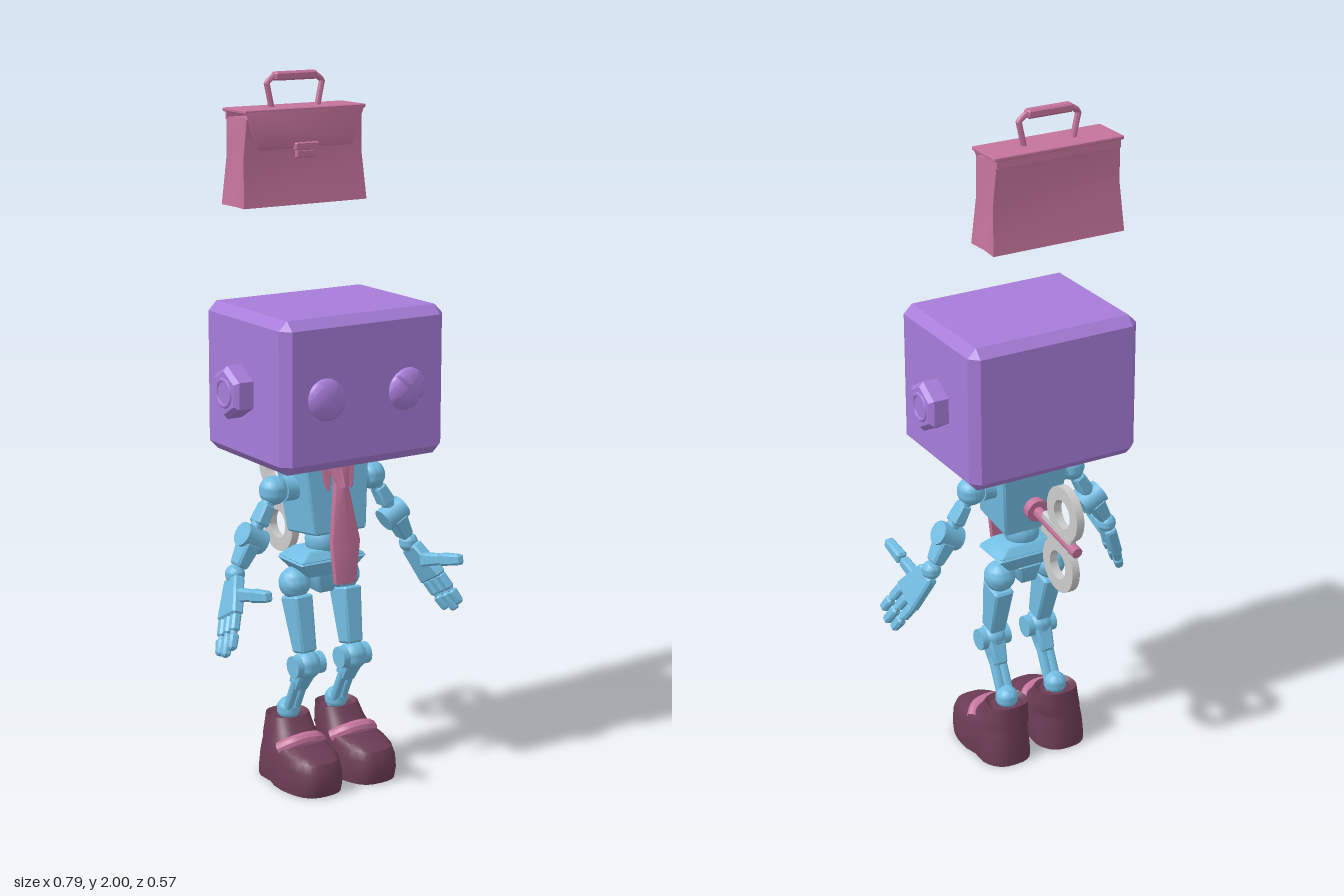
import * as THREE from 'three';
import { toCreasedNormals } from 'three/addons/utils/BufferGeometryUtils.js';
import { ConvexGeometry } from 'three/addons/geometries/ConvexGeometry.js';

const V = (x, y, z) => new THREE.Vector3(x, y, z);
const mat = (color) => new THREE.MeshStandardMaterial({ color, side: THREE.DoubleSide });
const purple = mat(0xa67cd9), blue = mat(0x72bde3), pink = mat(0xc4739b), maroon = mat(0x6b3c54), grey = mat(0xcccccc);

function add(parent, name, geo, material, p = V(0, 0, 0)) {
  const mesh = new THREE.Mesh(toCreasedNormals(geo, 0.6), material);
  mesh.name = name;
  mesh.position.copy(p);
  parent.add(mesh);
  return mesh;
}

function group(parent, name) {
  const g = new THREE.Group();
  g.name = name;
  parent.add(g);
  return g;
}

// Box with bevelled edges; the top may have its own width and depth
function bevelBox(w, h, d, c, topW = w, topD = d) {
  const points = [];
  for (const sx of [-1, 1]) for (const sy of [-1, 1]) for (const sz of [-1, 1]) {
    const x = (sy > 0 ? topW : w) / 2, z = (sy > 0 ? topD : d) / 2, y = h / 2;
    for (const [a, b, e] of [[0, c, c], [c, 0, c], [c, c, 0]]) {
      points.push(V(sx * (x - a), sy * (y - b), sz * (z - e)));
    }
  }
  return new ConvexGeometry(points);
}

// Turn a mesh so its y axis runs from a to b, and centre it between them
function span(mesh, a, b, hint = V(0, 0, 1)) {
  const y = b.clone().sub(a).normalize();
  const z = hint.clone().addScaledVector(y, -hint.dot(y)).normalize();
  const x = y.clone().cross(z);
  mesh.quaternion.setFromRotationMatrix(new THREE.Matrix4().makeBasis(x, y, z));
  mesh.position.copy(a).lerp(b, 0.5);
  return mesh;
}
const limb = (g, name, a, b, w, d, w2 = w, d2 = d, m = blue, hint) =>
  span(add(g, name, bevelBox(w, a.distanceTo(b), d, 0.006, w2, d2), m), a, b, hint);
const rod = (g, name, a, b, r, m = blue) =>
  span(add(g, name, new THREE.CylinderGeometry(r, r, a.distanceTo(b), 14), m), a, b);
const ball = (g, name, p, r) => add(g, name, new THREE.SphereGeometry(r, 18, 14), blue, p);

// Skin stacked rings, each anticlockwise seen from above, and cap both ends
function loft(rings) {
  const n = rings[0].length, pos = rings.flat().flatMap((p) => [p.x, p.y, p.z]), idx = [];
  for (let j = 0; j < rings.length - 1; j++) for (let i = 0; i < n; i++) {
    const a = j * n + i, b = j * n + (i + 1) % n;
    idx.push(a, b, b + n, a, b + n, a + n);
  }
  [rings[0], rings[rings.length - 1]].forEach((ring, k) => {
    const c = ring.reduce((s, p) => s.add(p), V(0, 0, 0)).divideScalar(n);
    const ci = pos.length / 3, o = k * (rings.length - 1) * n;
    pos.push(c.x, c.y, c.z);
    for (let i = 0; i < n; i++) {
      const a = o + i, b = o + (i + 1) % n;
      idx.push(ci, k ? a : b, k ? b : a);
    }
  });
  const geo = new THREE.BufferGeometry();
  geo.setAttribute('position', new THREE.Float32BufferAttribute(pos, 3));
  geo.setIndex(idx);
  return geo;
}

function buildHead(root) {
  const g = group(root, 'head');
  add(g, 'headBlock', bevelBox(0.528, 0.42, 0.42, 0.026), purple, V(0, 1.17, 0.05));
  for (const s of [-1, 1]) {
    // Slotted screw eye: two half domes over a lower one
    const eye = group(g, 'screwEye');
    eye.position.set(s * 0.13, 1.16, 0.258);
    eye.rotation.z = -s * 0.85;
    for (const k of [0, 1]) {
      const half = new THREE.SphereGeometry(0.056, 16, 10, k * Math.PI, Math.PI, 0, Math.PI / 2);
      half.rotateX(Math.PI / 2).scale(1, 1, 0.5);
      add(eye, 'halfDome', half, purple, V(0, k ? 0.005 : -0.005, 0));
    }
    const floor = new THREE.SphereGeometry(0.057, 24, 8, 0, Math.PI * 2, 0, Math.PI / 2);
    add(eye, 'slotFloor', floor.rotateX(Math.PI / 2).scale(1, 1, 0.3), purple);

    // Hexagonal nut ear with a bolt end
    const ear = group(g, 'nutEar');
    ear.position.set(s * 0.26, 1.16, 0.04);
    ear.rotation.z = -s * Math.PI / 2;
    const turned = (r1, r2, h, n) => new THREE.CylinderGeometry(r1, r2, h, n).rotateY(Math.PI / 6);
    add(ear, 'nut', turned(0.074, 0.074, 0.05, 6), purple, V(0, 0.023, 0));
    add(ear, 'nutBevel', turned(0.06, 0.074, 0.012, 6), purple, V(0, 0.054, 0));
    add(ear, 'nutRim', new THREE.TorusGeometry(0.036, 0.007, 8, 24).rotateX(Math.PI / 2), purple, V(0, 0.058, 0));
  }
}

function buildBody(root) {
  const g = group(root, 'body');
  limb(g, 'torso', V(0, 0.732, 0.06), V(0, 0.925, 0.035), 0.17, 0.155, 0.21, 0.16);
  rod(g, 'neck', V(0, 0.91, 0.04), V(0, 0.98, 0.04), 0.04);
  ball(g, 'waist', V(0, 0.7, 0.04), 0.052);
  limb(g, 'pelvis', V(0, 0.605, 0.035), V(0, 0.655, 0.035), 0.15, 0.1, 0.22, 0.13);
  limb(g, 'pelvisTop', V(0, 0.65, 0.035), V(0, 0.68, 0.035), 0.215, 0.125, 0.15, 0.1);
  limb(g, 'crotch', V(0, 0.548, 0.03), V(0, 0.61, 0.03), 0.055, 0.07, 0.075, 0.09);
}

function buildTie(root) {
  const g = group(root, 'necktie');
  const collar = add(g, 'collar', new THREE.TorusGeometry(0.054, 0.014, 8, 24).rotateX(Math.PI / 2), pink, V(0, 0.94, 0.045));
  collar.rotation.x = 0.15;
  // Each ring: height, half width, depth position
  const strip = (rows) => loft(rows.map(([y, w, z]) =>
    [V(w, y, z), V(w, y, z - 0.018), V(-w, y, z - 0.018), V(-w, y, z), V(0, y, z + 0.008)]));
  add(g, 'blade', strip([[0.6, 0.032, 0.162], [0.72, 0.045, 0.162], [0.89, 0.018, 0.138]]), pink);
  add(g, 'knot', strip([[0.875, 0.016, 0.148], [0.93, 0.03, 0.128]]), pink);
  for (const s of [-1, 1]) {
    limb(g, 'collarFlap', V(s * 0.038, 0.862, 0.127), V(s * 0.038, 0.945, 0.105), 0.012, 0.012, 0.05, 0.014, pink);
  }
}

function buildKey(root) {
  const g = group(root, 'windUpKey');
  rod(g, 'shaft', V(0, 0.803, -0.03), V(0, 0.765, -0.27), 0.016, pink);
  rod(g, 'flange', V(0, 0.803, -0.03), V(0, 0.8, -0.055), 0.034, pink);
  const ring = new THREE.Shape().absarc(0, 0, 0.081, 0, Math.PI * 2);
  ring.holes.push(new THREE.Path().absarc(0, 0, 0.042, 0, Math.PI * 2, true));
  for (const [y, z] of [[0.86, -0.205], [0.692, -0.184]]) {
    const geo = new THREE.ExtrudeGeometry(ring, { depth: 0.024, bevelEnabled: false, curveSegments: 16 });
    add(g, 'bow', geo.translate(0, 0, -0.012).rotateY(-Math.PI / 2), grey, V(0, y, z));
  }
  limb(g, 'bowPlate', V(0, 0.79, -0.09), V(0, 0.768, -0.245), 0.025, 0.07, 0.025, 0.07, grey, V(0, 1, 0));
}

function buildArm(root, s) {
  const g = group(root, s > 0 ? 'leftArm' : 'rightArm');
  const P = (x, y, z) => V(s * x, y, z);
  const shoulder = P(0.163, 0.865, 0.04), elbow = P(0.238, 0.74, 0.045), wrist = P(0.292, 0.645, 0.045);
  rod(g, 'shoulderSocket', P(0.09, 0.865, 0.04), P(0.135, 0.865, 0.04), 0.036);
  ball(g, 'shoulder', shoulder, 0.041);
  rod(g, 'upperRod', shoulder, elbow, 0.019);
  limb(g, 'upperArm', P(0.184, 0.83, 0.041), P(0.215, 0.775, 0.044), 0.036, 0.044, 0.042, 0.05);
  rod(g, 'elbowPin', P(0.205, 0.722, 0.045), P(0.268, 0.758, 0.045), 0.035);
  limb(g, 'forearm', P(0.245, 0.73, 0.045), P(0.281, 0.665, 0.045), 0.048, 0.064, 0.038, 0.048);
  ball(g, 'wrist', wrist, 0.028);

  // Palm with three jointed fingers and a thumb spread forward
  const dir = P(0.4, -0.8, 0.44).normalize(), knuckle = P(0.343, 0.543, 0.102);
  const fan = V(0, 0.47, 0.88).normalize();
  limb(g, 'palm', wrist.clone().addScaledVector(dir, 0.012), knuckle, 0.034, 0.07, 0.032, 0.105, blue, fan);
  for (const k of [-1, 0, 1]) {
    const at = (t) => knuckle.clone().addScaledVector(fan, k * 0.036).addScaledVector(dir, t);
    const tip = k === 0 ? 0.112 : 0.1;
    limb(g, 'fingerBase', at(-0.005), at(0.048), 0.026, 0.029, 0.026, 0.029, blue, fan);
    rod(g, 'fingerJoint', at(0.04), at(0.06), 0.01);
    limb(g, 'fingerTip', at(0.053), at(tip), 0.027, 0.03, 0.024, 0.026, blue, fan);
  }
  const t0 = P(0.312, 0.6, 0.09), t1 = P(0.315, 0.622, 0.175), t2 = P(0.318, 0.643, 0.265);
  limb(g, 'thumbBase', t0, t1, 0.03, 0.04, 0.028, 0.032, blue, V(0, 1, 0));
  limb(g, 'thumbTip', t1.lerp(t2, 0.06), t2, 0.032, 0.036, 0.028, 0.03, blue, V(0, 1, 0));
}

function buildLeg(root, s) {
  const g = group(root, s > 0 ? 'leftLeg' : 'rightLeg');
  const P = (x, y, z) => V(s * x, y, z);
  ball(g, 'hip', P(0.083, 0.58, 0.022), 0.046);
  limb(g, 'thigh', P(0.078, 0.385, 0.068), P(0.082, 0.545, 0.03), 0.05, 0.06, 0.06, 0.085);
  rod(g, 'knee', P(0.03, 0.35, 0.077), P(0.125, 0.35, 0.077), 0.032);
  ball(g, 'kneeBall', P(0.078, 0.35, 0.077), 0.042);
  limb(g, 'shinCap', P(0.08, 0.275, 0.035), P(0.079, 0.345, 0.072), 0.042, 0.048, 0.054, 0.062);
  for (const k of [-1, 1]) {
    rod(g, 'shinRod', P(0.08 + k * 0.013, 0.17, -0.015), P(0.08 + k * 0.013, 0.3, 0.05), 0.014);
  }
  ball(g, 'ankle', P(0.082, 0.192, -0.015), 0.034);

  // Shoe rings: height, heel, toe, half width, centre x
  const rows = [[0, -0.087, 0.208, 0.087, 0.092], [0.03, -0.086, 0.217, 0.087, 0.092], [0.07, -0.083, 0.215, 0.083, 0.092],
    [0.095, -0.08, 0.203, 0.078, 0.091], [0.108, -0.078, 0.175, 0.074, 0.09], [0.118, -0.077, 0.1, 0.071, 0.088],
    [0.145, -0.073, 0.065, 0.066, 0.086], [0.183, -0.069, 0.036, 0.06, 0.084], [0.172, -0.055, 0.024, 0.048, 0.084]];
  const shoe = rows.map(([y, heel, toe, w, cx]) => Array.from({ length: 36 }, (_, i) => {
    const a = i / 36 * Math.PI * 2, c = Math.cos(a), q = -Math.sin(a);
    const z = (heel + toe) / 2 + (toe - heel) / 2 * Math.sign(q) * Math.abs(q) ** 0.8;
    const arch = 1 - 0.12 * Math.exp(-(((z - 0.02) / 0.03) ** 2)) * Math.max(0, 1 - y / 0.1);
    return V(s * cx + w * arch * Math.sign(c) * Math.abs(c) ** 0.7, y, z);
  }));
  add(g, 'shoe', loft(shoe), maroon);
  const lace = new THREE.CatmullRomCurve3([P(0.022, 0.105, 0.055), P(0.05, 0.125, 0.08), P(0.09, 0.131, 0.085),
    P(0.13, 0.125, 0.08), P(0.157, 0.105, 0.055)]);
  add(g, 'laceBand', new THREE.TubeGeometry(lace, 20, 0.02, 10), pink);
}

function buildBriefcase(root) {
  const g = group(root, 'briefcase');
  g.position.z = -0.105;
  // Waisted body with folded-in ends
  const rings = [[1.64, 0.2, 0.06, 0.004], [1.775, 0.192, 0.045, 0.022], [1.88, 0.186, 0.054, 0.025]].map(([y, x, z, fold]) =>
    [V(x, y, z), V(x - fold, y, 0), V(x, y, -z), V(-x, y, -z), V(fold - x, y, 0), V(-x, y, z)]);
  add(g, 'bag', loft(rings), pink);
  add(g, 'backRim', bevelBox(0.374, 0.03, 0.008, 0.001), pink, V(0, 1.888, -0.054));
  add(g, 'lid', bevelBox(0.39, 0.01, 0.122, 0.002), pink, V(0, 1.9, 0));
  limb(g, 'flap', V(0, 1.795, 0.053), V(0, 1.903, 0.058), 0.31, 0.01, 0.38, 0.008, pink);
  add(g, 'clasp', bevelBox(0.076, 0.022, 0.016, 0.003), pink, V(0, 1.8, 0.06));
  add(g, 'claspPlate', bevelBox(0.064, 0.022, 0.014, 0.003), pink, V(0, 1.779, 0.056));
  // Handle: bent wire with a padded grip
  const bend = new THREE.CurvePath();
  const pts = [V(-0.074, 1.9, 0), V(-0.09, 1.972, 0), V(-0.068, 1.988, 0), V(0.068, 1.988, 0), V(0.09, 1.972, 0), V(0.074, 1.9, 0)];
  for (let i = 0; i < 5; i++) bend.add(new THREE.LineCurve3(pts[i], pts[i + 1]));
  add(g, 'handle', new THREE.TubeGeometry(bend, 60, 0.0085, 8), pink);
  add(g, 'grip', bevelBox(0.136, 0.024, 0.028, 0.005), pink, V(0, 1.988, 0));
}

export function createModel() {
  const root = new THREE.Group();
  root.name = 'windUpRobot';
  buildHead(root);
  buildBody(root);
  buildTie(root);
  buildKey(root);
  for (const s of [-1, 1]) {
    buildArm(root, s);
    buildLeg(root, s);
  }
  buildBriefcase(root);
  return root;
}
